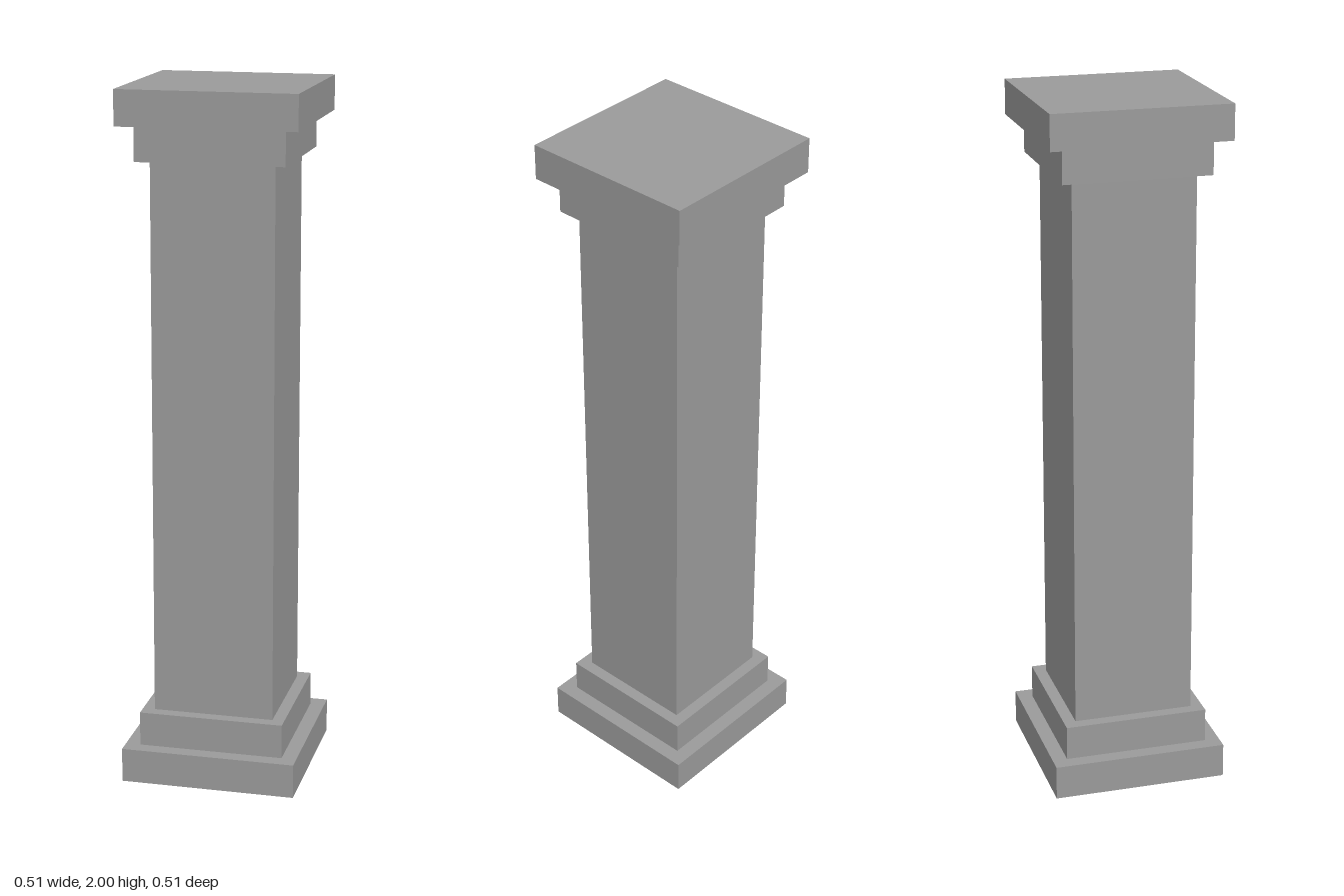
import * as THREE from 'three';

const material = new THREE.MeshStandardMaterial({
  color: 0x9a9a9a, flatShading: true, side: THREE.DoubleSide,
});

// Half-widths of the square tiers
const SLAB = 0.253, STEP = 0.21, SHAFT = 0.175;

// Thin square shell swept from a [half-width, height] profile
function squareShell(name, profile) {
  const points = profile.map(([w, y]) => new THREE.Vector2(w * Math.SQRT2, y));
  const geometry = new THREE.LatheGeometry(points, 4, Math.PI / 4);
  const mesh = new THREE.Mesh(geometry, material);
  mesh.name = name;
  return mesh;
}

export function createModel() {
  const column = new THREE.Group();
  column.name = 'column';
  column.add(
    // Hollow base, open underneath, with ledges stepping in
    squareShell('plinth', [[SLAB, 0], [SLAB, 0.1], [STEP, 0.1]]),
    squareShell('baseStep', [[STEP, 0.1], [STEP, 0.2], [SHAFT, 0.2]]),
    squareShell('shaft', [[SHAFT, 0.2], [SHAFT, 1.8]]),
    // Capital mirrors the base and is closed on top
    squareShell('capitalStep', [[SHAFT, 1.8], [STEP, 1.8], [STEP, 1.9]]),
    squareShell('capitalSlab', [[STEP, 1.9], [SLAB, 1.9], [SLAB, 2], [0, 2]]),
  );
  return column;
}
